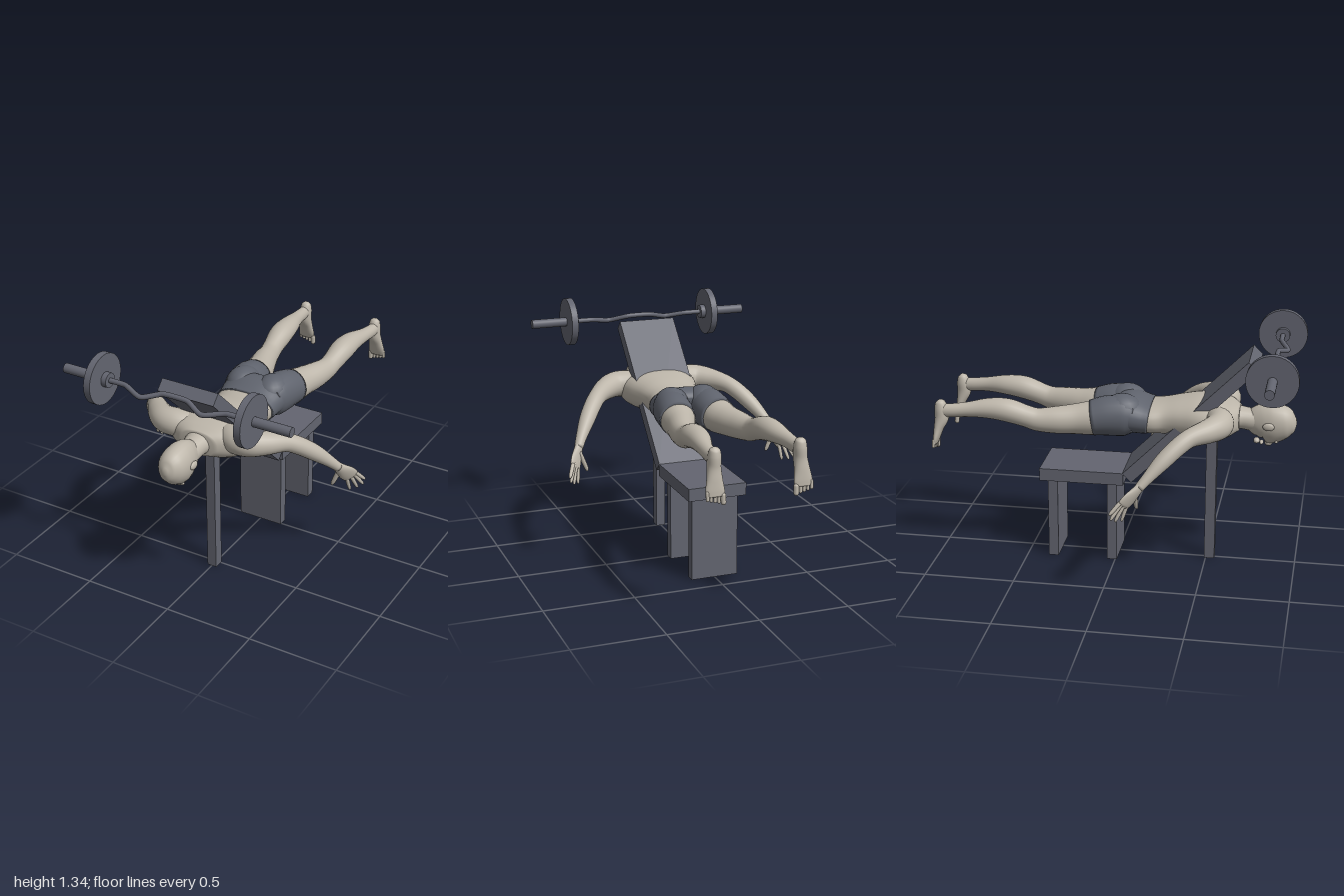
import * as THREE from 'three';

const skin = new THREE.MeshStandardMaterial({ name: 'skin', color: 0xbdb6aa });
const steel = new THREE.MeshStandardMaterial({ name: 'greySteel', color: 0x636570 });
const cloth = new THREE.MeshStandardMaterial({ name: 'shortsCloth', color: 0x5f636d });
const V = (x, y, z) => new THREE.Vector3(x, y, z);

function add(parent, name, geometry, material, x = 0, y = 0, z = 0) {
  const mesh = new THREE.Mesh(geometry, material);
  mesh.name = name;
  mesh.position.set(x, y, z);
  parent.add(mesh);
  return mesh;
}

const box = (parent, name, w, h, d, x, y, z) =>
  add(parent, name, new THREE.BoxGeometry(w, h, d), steel, x, y, z);

function blob(parent, name, material, x, y, z, rx, ry, rz) {
  return add(parent, name, new THREE.SphereGeometry(1, 20, 14).scale(rx, ry, rz), material, x, y, z);
}

// Smooth skin through cross-sections [x, y, z, radiusAcross, radiusUp]
function loft(keys, { up = V(0, 1, 0), power = 1, sides = 24, steps = 5 } = {}) {
  const path = new THREE.CatmullRomCurve3(keys.map(k => V(k[0], k[1], k[2])));
  const size = new THREE.CatmullRomCurve3(keys.map((k, i) => V(k[3], k[4] ?? k[3], i * 0.05)));
  const rings = (keys.length - 1) * steps;
  const pos = [], index = [];
  const bend = v => Math.sign(v) * Math.abs(v) ** power;
  for (let i = 0; i <= rings; i++) {
    const p = path.getPoint(i / rings), r = size.getPoint(i / rings);
    const t = path.getTangent(i / rings);
    const side = up.clone().cross(t).normalize();
    const n = t.clone().cross(side);
    for (let j = 0; j < sides; j++) {
      const a = j / sides * Math.PI * 2;
      const q = p.clone().addScaledVector(side, bend(Math.cos(a)) * r.x)
        .addScaledVector(n, bend(Math.sin(a)) * r.y);
      pos.push(q.x, q.y, q.z);
      if (i < rings) {
        const k = (j + 1) % sides, a0 = i * sides, b0 = a0 + sides;
        index.push(a0 + j, a0 + k, b0 + k, a0 + j, b0 + k, b0 + j);
      }
    }
  }
  // End caps
  const first = keys[0], last = keys[keys.length - 1];
  const c = pos.length / 3, e = rings * sides;
  pos.push(...first.slice(0, 3), ...last.slice(0, 3));
  for (let j = 0; j < sides; j++) {
    const k = (j + 1) % sides;
    index.push(c, k, j, c + 1, e + j, e + k);
  }
  const g = new THREE.BufferGeometry();
  g.setAttribute('position', new THREE.Float32BufferAttribute(pos, 3));
  g.setIndex(index);
  g.computeVertexNormals();
  return g;
}

function buildBench() {
  const g = new THREE.Group();
  g.name = 'bench';
  box(g, 'seat', 0.33, 0.07, 0.47, 0, 0.5, -0.185);
  box(g, 'frontSeatLeg', 0.264, 0.465, 0.055, 0, 0.2325, -0.018);
  box(g, 'rearSeatLeg', 0.264, 0.465, 0.055, 0, 0.2325, -0.352);
  box(g, 'backrestPost', 0.054, 0.88, 0.058, 0, 0.44, 0.52);
  box(g, 'backrest', 0.33, 0.07, 0.955, 0, 0.8475, 0.4075).rotation.x = -Math.PI / 4;
  return g;
}

function buildBarbell() {
  const g = new THREE.Group();
  g.name = 'barbell';
  g.position.set(0, 1.203, 0.863);
  // Cranked grip
  const half = [[0.4, 0, 0], [0.31, 0, 0], [0.29, -0.001, 0.002], [0.19, -0.018, 0.04],
    [0.17, -0.018, 0.04], [0.08, 0.005, 0], [0.06, 0.008, -0.003]];
  const pts = [...half.map(([x, y, z]) => V(-x, y, z)), ...half.reverse().map(p => V(...p))];
  add(g, 'gripBar', new THREE.TubeGeometry(new THREE.CatmullRomCurve3(pts), 80, 0.014, 12), steel);
  const disc = (name, r, x0, x1, s) => add(g, name,
    new THREE.CylinderGeometry(r, r, x1 - x0, 40).rotateZ(Math.PI / 2), steel, s * (x0 + x1) / 2);
  for (const s of [-1, 1]) {
    disc('collar', 0.04, 0.386, 0.416, s);
    disc('weightPlate', 0.137, 0.415, 0.453, s);
    disc('sleeve', 0.026, 0.4, 0.66, s);
  }
  return g;
}

function buildHead(g) {
  add(g, 'neck', loft([[0, 0.845, 0.6, 0.1, 0.075], [0, 0.845, 0.68, 0.07, 0.062],
    [0, 0.835, 0.74, 0.06, 0.062], [0, 0.83, 0.82, 0.055, 0.06]]), skin);
  add(g, 'head', loft([[0, 0.772, 0.73, 0.025, 0.035], [0, 0.785, 0.742, 0.046, 0.068],
    [0, 0.808, 0.77, 0.063, 0.1], [0, 0.82, 0.81, 0.075, 0.113], [0, 0.826, 0.86, 0.081, 0.112],
    [0, 0.833, 0.92, 0.073, 0.092], [0, 0.836, 0.96, 0.046, 0.058],
    [0, 0.838, 0.977, 0.012, 0.015]]), skin);
  blob(g, 'nose', skin, 0, 0.709, 0.828, 0.014, 0.02, 0.022);
  blob(g, 'lips', skin, 0, 0.708, 0.79, 0.024, 0.012, 0.011);
  blob(g, 'chin', skin, 0, 0.717, 0.763, 0.026, 0.016, 0.018);
  blob(g, 'brow', skin, 0, 0.728, 0.872, 0.05, 0.016, 0.014);
  for (const s of [-1, 1]) blob(g, 'ear', skin, s * 0.081, 0.825, 0.83, 0.012, 0.022, 0.032);
}

function buildTorso(g) {
  add(g, 'torso', loft([[0, 0.833, 0.16, 0.168, 0.085], [0, 0.833, 0.2, 0.166, 0.086],
    [0, 0.837, 0.27, 0.154, 0.092], [0, 0.843, 0.36, 0.176, 0.105], [0, 0.845, 0.46, 0.21, 0.116],
    [0, 0.843, 0.55, 0.225, 0.11], [0, 0.846, 0.62, 0.19, 0.088], [0, 0.846, 0.67, 0.1, 0.066]],
  { power: 0.85, sides: 36 }), skin);
  add(g, 'shortsHips', loft([[0, 0.833, 0.182, 0.174, 0.092], [0, 0.838, 0.14, 0.178, 0.098],
    [0, 0.85, 0.07, 0.188, 0.108], [0, 0.85, 0.03, 0.18, 0.1], [0, 0.845, 0, 0.12, 0.07]],
  { power: 0.9, sides: 36 }), cloth);
}

function buildLeg(g, s) {
  const m = keys => keys.map(([x, ...r]) => [s * x, ...r]);
  blob(g, 'buttock', cloth, s * 0.092, 0.885, 0.035, 0.092, 0.088, 0.11);
  add(g, 'shortsLeg', loft(m([[0.1, 0.85, 0.1, 0.08, 0.09], [0.101, 0.852, 0.05, 0.096, 0.112],
    [0.107, 0.85, -0.04, 0.103, 0.111], [0.118, 0.836, -0.13, 0.1, 0.098]])), cloth);
  add(g, 'leg', loft(m([[0.115, 0.838, -0.1, 0.095, 0.094], [0.12, 0.834, -0.14, 0.094, 0.093],
    [0.137, 0.83, -0.22, 0.081, 0.083], [0.165, 0.828, -0.32, 0.07, 0.075],
    [0.186, 0.832, -0.42, 0.058, 0.064], [0.193, 0.85, -0.48, 0.058, 0.06],
    [0.2, 0.88, -0.58, 0.067, 0.064], [0.206, 0.888, -0.68, 0.06, 0.056],
    [0.222, 0.88, -0.8, 0.041, 0.041], [0.23, 0.872, -0.89, 0.034, 0.038],
    [0.232, 0.87, -0.95, 0.03, 0.038]])), skin);
  // Foot hangs down with the sole facing back
  add(g, 'foot', loft(m([[0.23, 0.93, -0.955, 0.012, 0.008], [0.23, 0.918, -0.952, 0.027, 0.026],
    [0.23, 0.88, -0.947, 0.035, 0.038], [0.232, 0.83, -0.945, 0.036, 0.039],
    [0.235, 0.77, -0.963, 0.042, 0.027], [0.237, 0.715, -0.976, 0.051, 0.018],
    [0.237, 0.685, -0.982, 0.047, 0.012]]), { up: V(0, 0, 1) }), skin);
  for (let i = 0; i < 5; i++) {
    const r = i ? 0.009 : 0.014, x = 0.196 + i * 0.02 + (i ? 0.004 : 0);
    const toe = add(g, 'toe', new THREE.CapsuleGeometry(r, 0.035, 4, 10), skin,
      s * x, 0.671 + i * 0.005, -0.984);
    toe.rotation.x = 0.08;
  }
}

function buildArm(g, s) {
  const m = keys => keys.map(([x, ...r]) => [s * x, ...r]);
  add(g, 'arm', loft(m([[0.11, 0.87, 0.54, 0.07], [0.18, 0.875, 0.575, 0.076],
    [0.25, 0.875, 0.575, 0.073], [0.32, 0.868, 0.525, 0.064], [0.395, 0.852, 0.44, 0.05],
    [0.44, 0.82, 0.388, 0.048], [0.5, 0.755, 0.315, 0.044], [0.555, 0.68, 0.245, 0.031],
    [0.585, 0.632, 0.203, 0.025]])), skin);
  // Flat palm, spread fingers and thumb
  const up = V(s * -0.5, 0.125, -0.57);
  add(g, 'palm', loft(m([[0.575, 0.648, 0.217, 0.024, 0.022], [0.595, 0.613, 0.187, 0.034, 0.019],
    [0.613, 0.58, 0.157, 0.046, 0.016], [0.626, 0.553, 0.133, 0.045, 0.013],
    [0.63, 0.543, 0.125, 0.034, 0.008]]), { up }), skin);
  const fingers = [[0.65, 0.56, 0.107, 0.678, 0.508, 0.062], [0.638, 0.556, 0.118, 0.672, 0.478, 0.068],
    [0.624, 0.552, 0.132, 0.648, 0.46, 0.088], [0.607, 0.553, 0.148, 0.617, 0.452, 0.117],
    [0.58, 0.595, 0.18, 0.54, 0.497, 0.185]];
  fingers.forEach(([x, y, z, a, b, c], i) => {
    const at = f => [x + (a - x) * f, y + (b - y) * f, z + (c - z) * f];
    const r = i === 4 ? 0.0135 : 0.011;
    add(g, i === 4 ? 'thumb' : 'finger', loft(m([[...at(-0.2), r], [...at(0.3), r],
      [...at(0.8), r * 0.85], [...at(0.96), r * 0.55], [...at(1), r * 0.15]]),
    { up, sides: 12, steps: 3 }), skin);
  });
}

export function createModel() {
  const model = new THREE.Group();
  model.name = 'inclineBenchExercise';
  model.add(buildBench(), buildBarbell());
  const figure = new THREE.Group();
  figure.name = 'figure';
  buildHead(figure);
  buildTorso(figure);
  for (const s of [-1, 1]) {
    buildLeg(figure, s);
    buildArm(figure, s);
  }
  model.add(figure);
  return model;
}
